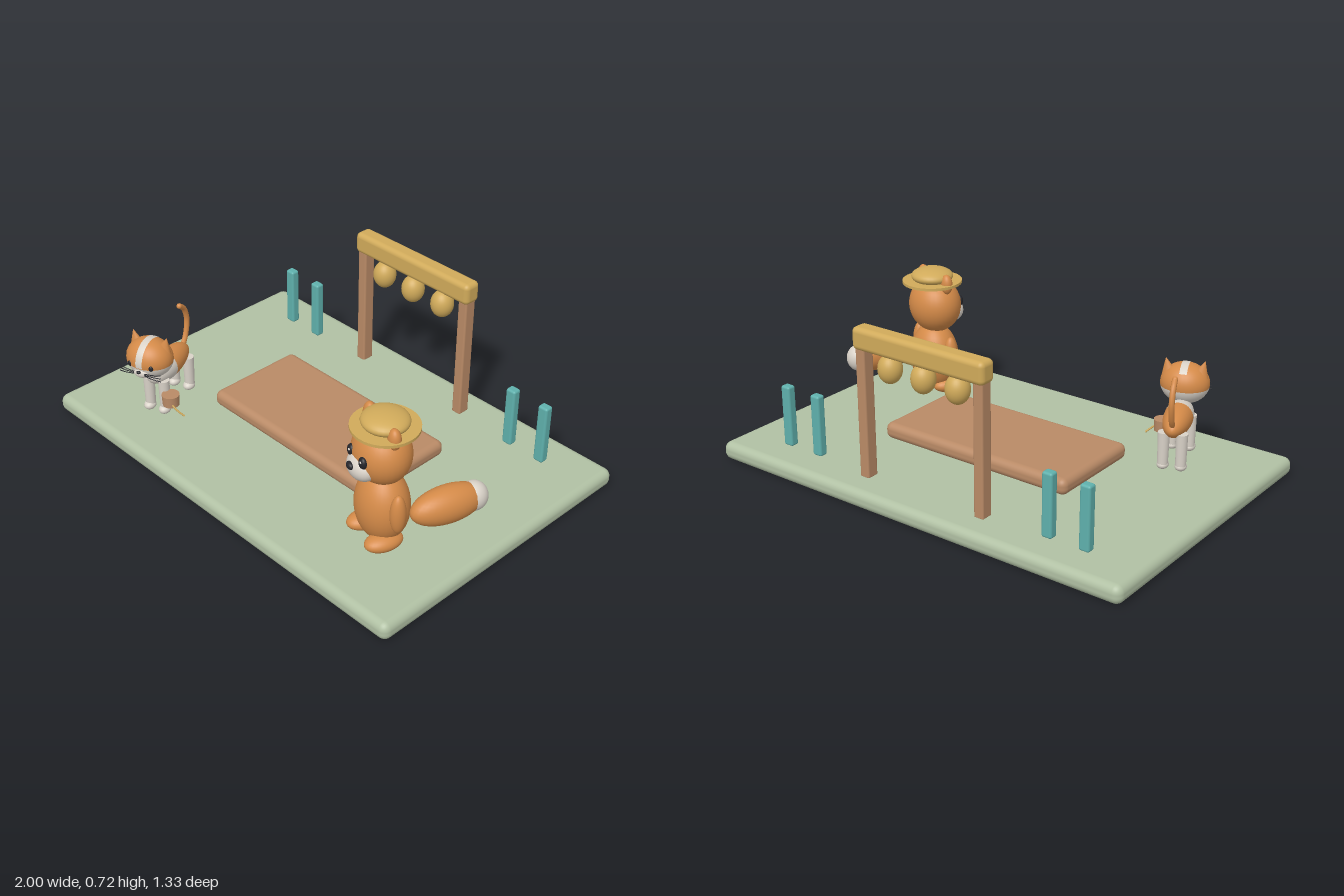
import * as THREE from 'three';
import { RoundedBoxGeometry } from 'three/addons/geometries/RoundedBoxGeometry.js';

const mat = (name, color, side = THREE.FrontSide) => {
  const m = new THREE.MeshStandardMaterial({ color, side });
  m.name = name;
  return m;
};

export function createModel() {
  const sage = mat('sage green', 0xb0c0a3);
  const wood = mat('wood brown', 0xb98a66);
  const gold = mat('straw gold', 0xd0aa5a);
  const teal = mat('teal', 0x5fb0ac);
  const orange = mat('fur orange', 0xd48a48);
  const cream = mat('fur cream', 0xd9d2c8);
  const dark = mat('near black', 0x25252a);

  const root = new THREE.Group();
  root.name = 'gardenStage';

  const add = (parent, name, geo, m, x = 0, y = 0, z = 0) => {
    const mesh = new THREE.Mesh(geo, m);
    mesh.name = name;
    mesh.position.set(x, y, z);
    parent.add(mesh);
    return mesh;
  };
  const box = (parent, name, m, [w, h, d], [x, y, z], r) =>
    add(parent, name, new RoundedBoxGeometry(w, h, d, 4, r), m, x, y, z);
  const ball = (parent, name, m, [rx, ry, rz], [x, y, z]) =>
    add(parent, name, new THREE.SphereGeometry(1, 32, 20).scale(rx, ry, rz), m, x, y, z);
  const tube = (parent, name, m, pts, r) => {
    const curve = new THREE.CatmullRomCurve3(pts.map(p => new THREE.Vector3(...p)));
    return add(parent, name, new THREE.TubeGeometry(curve, 20, r, 8), m);
  };

  // Ground slab and low platform
  box(root, 'ground', sage, [2, 0.08, 1.33], [0, 0.04, 0], 0.034);
  box(root, 'platform', wood, [0.93, 0.072, 0.455], [0, 0.122, -0.003], 0.03);

  // Lantern gate
  const gate = new THREE.Group();
  gate.name = 'lanternGate';
  root.add(gate);
  for (const s of [-1, 1]) {
    box(gate, 'gatePost', wood, [0.046, 0.58, 0.056], [s * 0.29, 0.365, -0.521], 0.008);
  }
  box(gate, 'gateBeam', gold, [0.645, 0.095, 0.08], [0, 0.673, -0.521], 0.022);
  for (const x of [-0.167, 0, 0.167]) {
    ball(gate, 'lantern', gold, [0.05, 0.061, 0.05], [x, 0.567, -0.51]);
  }

  // Short posts at the back
  for (const x of [-0.75, -0.583, 0.583, 0.75]) {
    box(root, 'shortPost', teal, [0.047, 0.27, 0.04], [x, 0.212, -0.5], 0.01);
  }

  // Seated animal with a straw hat
  const fox = new THREE.Group();
  fox.name = 'hattedAnimal';
  fox.position.set(0.642, 0, 0.32);
  fox.rotation.y = -0.3;
  root.add(fox);
  ball(fox, 'body', orange, [0.12, 0.158, 0.105], [0, 0.25, 0]);
  ball(fox, 'head', orange, [0.128, 0.125, 0.112], [0, 0.497, 0.008]);
  ball(fox, 'muzzle', cream, [0.072, 0.056, 0.055], [0, 0.458, 0.088]);
  ball(fox, 'nose', dark, [0.021, 0.015, 0.014], [0, 0.474, 0.138]);
  for (const s of [-1, 1]) {
    ball(fox, 'eye', dark, [0.021, 0.025, 0.016], [s * 0.045, 0.506, 0.109]);
    ball(fox, 'eyeGlint', cream, [0.005, 0.005, 0.004], [s * 0.045 + 0.005, 0.515, 0.122]);
    ball(fox, 'ear', orange, [0.03, 0.045, 0.025], [s * 0.094, 0.612, 0.01]);
    ball(fox, 'arm', orange, [0.03, 0.086, 0.032], [s * 0.128, 0.288, 0.004]);
    ball(fox, 'foot', orange, [0.05, 0.036, 0.08], [s * 0.073, 0.128, 0.03]);
  }
  ball(fox, 'tail', orange, [0.07, 0.077, 0.158], [0.134, 0.268, -0.204]);
  ball(fox, 'tailTip', cream, [0.056, 0.061, 0.057], [0.134, 0.268, -0.317]);
  add(fox, 'hatBrim', new THREE.CylinderGeometry(0.133, 0.133, 0.012, 40), gold, 0, 0.608, -0.004);
  ball(fox, 'hatCrown', gold, [0.095, 0.037, 0.093], [0, 0.633, -0.004]);

  // Standing cat
  const cat = new THREE.Group();
  cat.name = 'cat';
  cat.position.set(-0.633, 0, 0.33);
  cat.rotation.y = 0.35;
  root.add(cat);

  // Body along z: orange rear, cream shoulders
  const half = (m, name, sign, len) => {
    const g = new THREE.SphereGeometry(1, 28, 12, 0, Math.PI * 2, 0, Math.PI / 2);
    g.rotateX(sign * Math.PI / 2).scale(0.06, 0.062, len);
    add(cat, name, g, m, 0, 0.272, 0.02);
  };
  half(orange, 'bodyRear', -1, 0.165);
  half(cream, 'bodyFront', 1, 0.125);

  for (const sx of [-1, 1]) for (const sz of [-1, 1]) {
    add(cat, 'leg', new THREE.CylinderGeometry(0.025, 0.022, 0.15, 16), cream, sx * 0.037, 0.178, sz * 0.1);
    ball(cat, 'paw', cream, [0.025, 0.02, 0.03], [sx * 0.037, 0.108, sz * 0.1 + 0.006]);
  }
  tube(cat, 'tail', orange, [[0, 0.285, -0.12], [0, 0.33, -0.15], [0, 0.4, -0.166],
    [0, 0.46, -0.148], [0, 0.49, -0.115]], 0.012);
  ball(cat, 'tailEnd', orange, [0.012, 0.012, 0.012], [0, 0.49, -0.115]);

  // Head: orange cap, cream lower face, cream forehead stripe
  const headPart = (name, m, geo) =>
    add(cat, name, geo.scale(0.103, 0.087, 0.088), m, 0, 0.38, 0.132);
  const split = 1.72;
  headPart('headTop', orange, new THREE.SphereGeometry(1, 32, 16, 0, Math.PI * 2, 0, split));
  headPart('lowerFace', cream, new THREE.SphereGeometry(1, 32, 14, 0, Math.PI * 2, split, Math.PI - split));
  headPart('foreheadStripe', cream,
    new THREE.SphereGeometry(1.015, 28, 6, Math.PI / 2 - 0.1, 2.5, Math.PI / 2 - 0.15, 0.3).rotateZ(Math.PI / 2));
  ball(cat, 'muzzle', cream, [0.036, 0.022, 0.02], [0, 0.343, 0.205]);
  ball(cat, 'nose', dark, [0.01, 0.007, 0.007], [0, 0.354, 0.224]);
  for (const s of [-1, 1]) {
    ball(cat, 'eye', dark, [0.011, 0.013, 0.008], [s * 0.05, 0.376, 0.206]);
    const ear = add(cat, 'ear', new THREE.ConeGeometry(0.033, 0.07, 20).scale(1, 1, 0.65), orange,
      s * 0.073, 0.453, 0.12);
    ear.rotation.z = -s * 0.25;
    for (const k of [-1, 0, 1]) {
      tube(cat, 'whisker', dark, [[s * 0.025, 0.345 + k * 0.005, 0.219],
        [s * 0.065, 0.347 + k * 0.01, 0.222], [s * 0.1, 0.344 + k * 0.015, 0.212]], 0.002);
    }
  }

  // Little pot with a curved stem beside the cat
  const pot = new THREE.Group();
  pot.name = 'pot';
  root.add(pot);
  add(pot, 'potBody', new THREE.CylinderGeometry(0.038, 0.036, 0.05, 24), wood, -0.513, 0.183, 0.418);
  tube(pot, 'potStem', gold, [[-0.49, 0.178, 0.435], [-0.462, 0.155, 0.428], [-0.436, 0.13, 0.41]], 0.004);

  return root;
}
